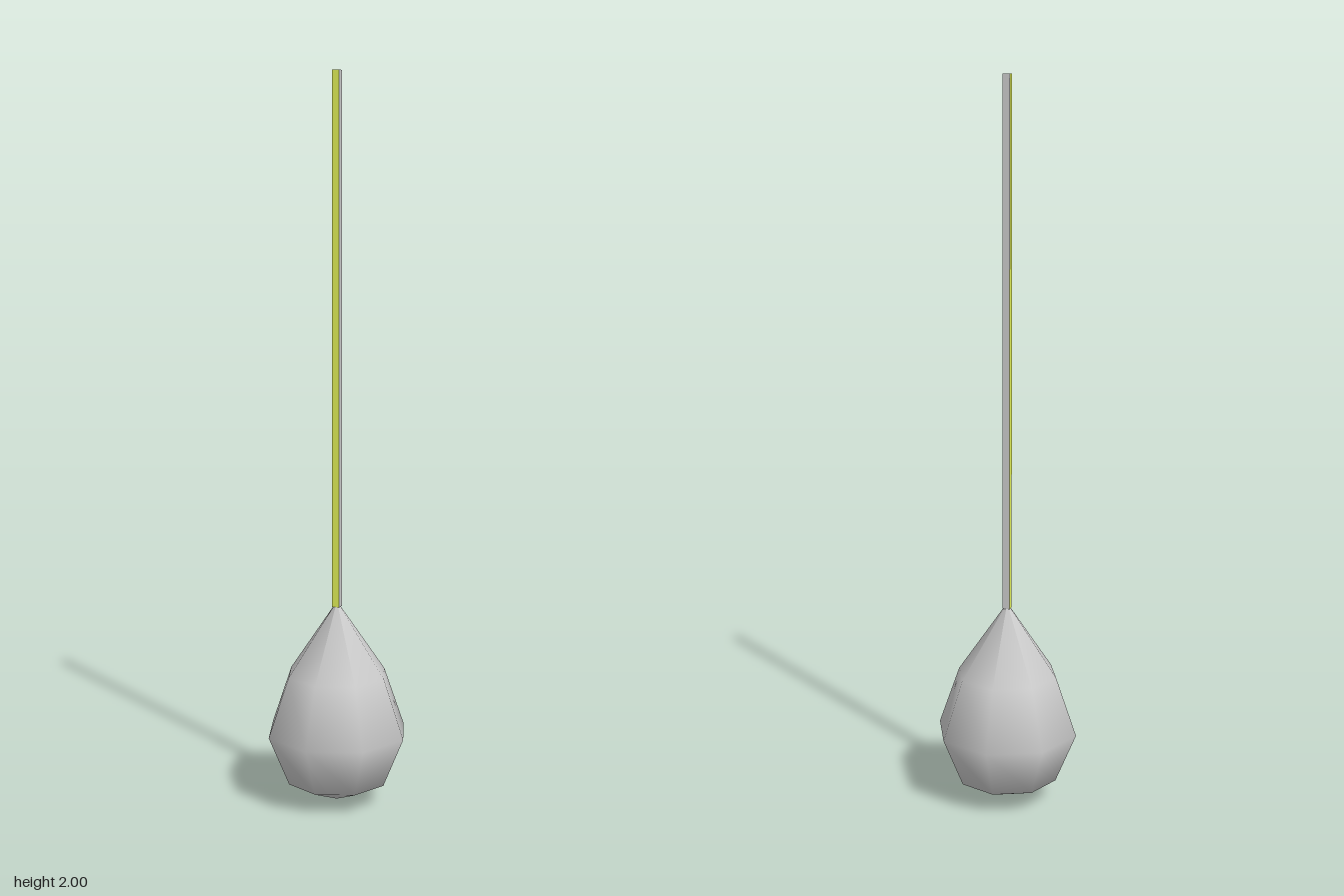
import * as THREE from 'three';

export function createModel() {
  const model = new THREE.Group();
  const grey = new THREE.MeshStandardMaterial({ color: 0xcccccc });
  const yellow = new THREE.MeshStandardMaterial({ color: 0xe6f55a });

  // Eight-sided, smooth-shaded teardrop weight, drawn up to a point
  const profile = [[0, 0], [0.1414, 0.06], [0.2, 0.2], [0.1414, 0.365], [0, 0.57]]
    .map(([r, y]) => new THREE.Vector2(r, y));
  const weight = new THREE.Mesh(new THREE.LatheGeometry(profile, 8), grey);
  weight.name = 'weight';
  model.add(weight);

  // Thin square cord rising from the tip; faces in order +x, -x, +y, -y, +z, -z
  const bottom = 0.555, top = 2;
  const cord = new THREE.Mesh(
    new THREE.BoxGeometry(0.02, top - bottom, 0.02),
    [grey, yellow, yellow, grey, yellow, grey]
  );
  cord.position.y = (top + bottom) / 2;
  cord.name = 'cord';
  model.add(cord);

  return model;
}
